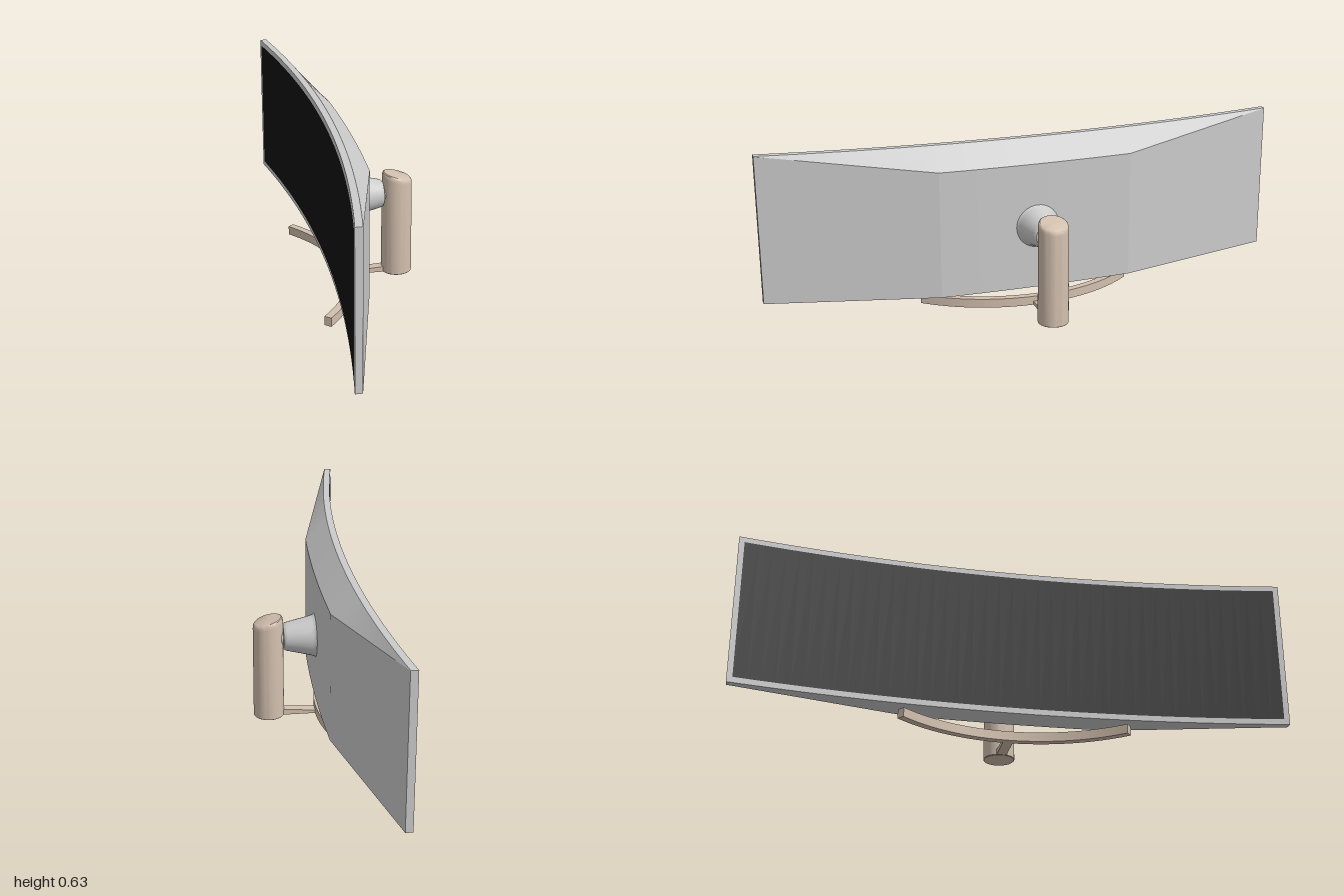
import * as THREE from 'three';
import { toCreasedNormals } from 'three/addons/utils/BufferGeometryUtils.js';

const grey = new THREE.MeshStandardMaterial({ color: 0xcccccc });
const black = new THREE.MeshStandardMaterial({ color: 0x111111 });
const tan = new THREE.MeshStandardMaterial({ color: 0xd2bfae });

const BOTTOM = 0.073, TOP = 0.635, RIM = 0.025, BEND = 0.37;

// Concave front of the display, which looks toward -x
const frontX = z => -0.21 + 0.085 * (1 - z * z);

function part(name, geometry, material) {
  const mesh = new THREE.Mesh(geometry, material);
  mesh.name = name;
  return mesh;
}

// Skins counter-clockwise [x, y] rings placed along z and caps both ends
function loft(zs, ringAt) {
  const pos = [], index = [];
  const n = ringAt(zs[0]).length, last = (zs.length - 1) * n;
  zs.forEach((z, i) => {
    ringAt(z).forEach(([x, y]) => pos.push(x, y, z));
    if (i === 0) return;
    for (let j = 0; j < n; j++) {
      const a = (i - 1) * n + j, b = (i - 1) * n + (j + 1) % n;
      index.push(a, b, b + n, a, b + n, a + n);
    }
  });
  for (let j = 1; j < n - 1; j++) {
    index.push(0, j + 1, j, last, last + j, last + j + 1);
  }
  const g = new THREE.BufferGeometry();
  g.setAttribute('position', new THREE.Float32BufferAttribute(pos, 3));
  g.setIndex(index);
  return toCreasedNormals(g, 0.15);
}

// Housing section: thin rim in front, sloped top, flat bottom, faceted back
function housingRing(z) {
  const f = frontX(z), a = Math.abs(z);
  const t = Math.min(1, (1 - a) / (1 - BEND));
  const back = a > BEND ? -0.184 + 0.154 * t : -0.02 - 0.01 * (a / BEND) ** 2;
  const ridge = TOP - 0.001 - 0.079 * t;
  return [[f, BOTTOM], [back, BOTTOM], [back, ridge], [f + RIM, TOP], [f, TOP]];
}

function createDisplay() {
  const display = new THREE.Group();
  display.name = 'display';
  const zs = [];
  for (let i = 0; i < 12; i++) zs.push(-1 + (1 - BEND) * i / 12);
  for (let i = 0; i < 14; i++) zs.push(-BEND + 2 * BEND * i / 14);
  for (let i = 0; i <= 12; i++) zs.push(BEND + (1 - BEND) * i / 12);
  display.add(part('housing', loft(zs, housingRing), grey));

  // Curved screen inside the bezel
  const screen = new THREE.PlaneGeometry(1.96, 0.522, 40, 1);
  screen.rotateY(-Math.PI / 2).translate(0, (TOP + BOTTOM) / 2, 0);
  const p = screen.attributes.position;
  for (let i = 0; i < p.count; i++) p.setX(i, frontX(p.getZ(i)) - 0.0015);
  screen.computeVertexNormals();
  display.add(part('screen', screen, black));

  // Tapered neck with a flared root and a short pin into the column
  const profile = [[0.086, -0.024], [0.079, -0.017], [0.075, -0.008], [0.072, 0.003],
    [0.053, 0.085], [0.050, 0.093], [0.045, 0.097], [0.03, 0.098], [0.03, 0.13]]
    .map(([r, y]) => new THREE.Vector2(r, y));
  const neck = new THREE.LatheGeometry(profile, 32);
  neck.rotateZ(-Math.PI / 2).translate(0, 0.315, 0);
  display.add(part('neck', toCreasedNormals(neck, 0.6), grey));
  return display;
}

function createStand() {
  const stand = new THREE.Group();
  stand.name = 'stand';

  // Column with a softened, slanted top
  const profile = [[0, 0], [0.055, 0], [0.057, 0.002], [0.0555, 0.365], [0.0545, 0.376],
    [0.052, 0.382], [0.048, 0.385], [0, 0.386]].map(([r, y]) => new THREE.Vector2(r, y));
  const column = new THREE.LatheGeometry(profile, 40);
  const p = column.attributes.position;
  for (let i = 0; i < p.count; i++) {
    if (p.getY(i) > 0.3) p.setY(i, p.getY(i) - 0.26 * p.getX(i));
  }
  column.translate(0.152, 0, 0);
  stand.add(part('column', toCreasedNormals(column, 0.6), tan));

  // Curved foot
  const cx = -0.657, half = 0.709;
  const arc = new THREE.Shape();
  arc.absarc(cx, 0, 0.636, -half, half, false);
  arc.absarc(cx, 0, 0.608, half, -half, true);
  const foot = new THREE.ExtrudeGeometry(arc, { depth: 0.034, bevelEnabled: false, curveSegments: 32 });
  foot.rotateX(-Math.PI / 2);
  stand.add(part('foot', toCreasedNormals(foot, 0.3), tan));

  // Low tapered arm joining foot and column
  const side = new THREE.Shape([[-0.03, 0.001], [0.13, 0.001], [0.13, 0.024], [-0.03, 0.0135]]
    .map(([x, y]) => new THREE.Vector2(x, y)));
  const arm = new THREE.ExtrudeGeometry(side, { depth: 0.036, bevelEnabled: false });
  arm.translate(0, 0, -0.018);
  stand.add(part('arm', arm, tan));
  return stand;
}

export function createModel() {
  const model = new THREE.Group();
  model.name = 'curvedMonitor';
  model.add(createDisplay(), createStand());
  return model;
}
